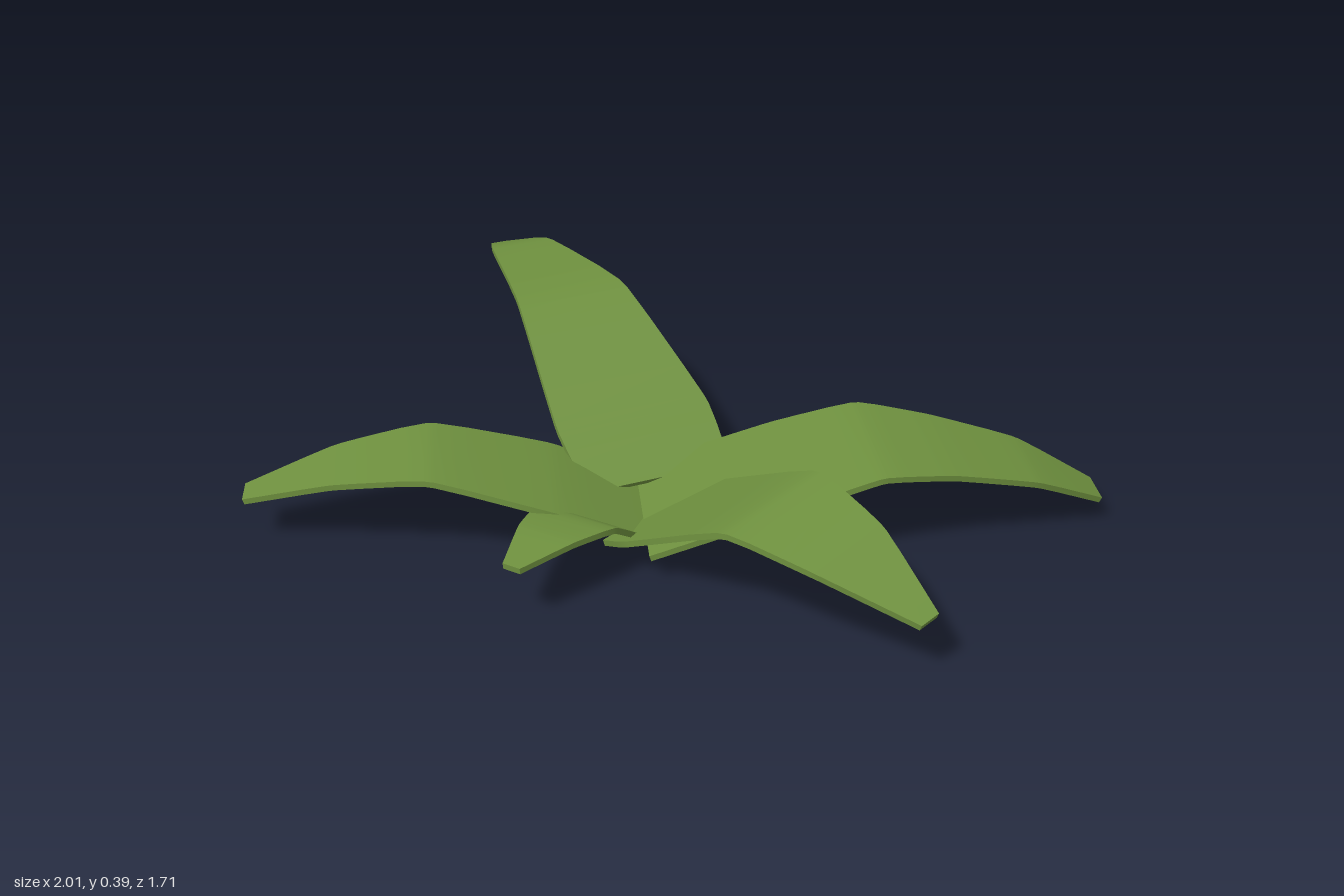
import * as THREE from 'three';
import { toCreasedNormals } from 'three/addons/utils/BufferGeometryUtils.js';

const THICK = 0.014;

// Rounds each bend of a leaf by cutting its corner twice
function soften(st) {
  const mix = (a, b, t) => a.map((v, i) => v + (b[i] - v) * t);
  for (const t of [0.1, 0.25]) {
    const out = [st[0]];
    for (let i = 1; i < st.length - 1; i++) {
      out.push(mix(st[i], st[i - 1], t), mix(st[i], st[i + 1], t));
    }
    out.push(st[st.length - 1]);
    st = out;
  }
  return st;
}

// Thin bent blade. Stations run base to tip as [x, y, z, width];
// side is the plan direction across the blade, roll its rise.
function leafGeometry(stations, side, roll = 0) {
  const st = soften(stations);
  const s = new THREE.Vector3(side[0], 0, side[1]).normalize();
  const pts = st.map((p) => new THREE.Vector3(p[0], p[1], p[2]));
  const pos = [], index = [];
  st.forEach((p, i) => {
    const tan = pts[Math.min(i + 1, st.length - 1)].clone().sub(pts[Math.max(i - 1, 0)]);
    const n = s.clone().cross(tan).normalize();
    for (const [a, b] of [[-1, 1], [1, 1], [1, -1], [-1, -1]]) {
      const v = pts[i].clone().addScaledVector(s, a * p[3] / 2).addScaledVector(n, b * THICK / 2);
      v.y += a * roll * p[3] / 2;
      pos.push(v.x, v.y, v.z);
    }
  });
  for (let i = 0; i < st.length - 1; i++) {
    for (let k = 0; k < 4; k++) {
      const a = i * 4 + k, b = i * 4 + (k + 1) % 4;
      index.push(a, b, b + 4, a, b + 4, a + 4);
    }
  }
  const e = (st.length - 1) * 4;
  index.push(0, 2, 1, 0, 3, 2, e, e + 1, e + 2, e, e + 2, e + 3);
  const g = new THREE.BufferGeometry();
  g.setAttribute('position', new THREE.Float32BufferAttribute(pos, 3));
  g.setIndex(index);
  return toCreasedNormals(g, Math.PI / 4);
}

export function createModel() {
  const group = new THREE.Group();
  group.name = 'leafyPlant';
  const green = new THREE.MeshStandardMaterial({ color: 0x6f913f });
  green.name = 'leafGreen';

  // side always points to the right hand of a walker going from base to tip
  const leaves = [
    { name: 'leftLeaf', side: [0, 1], st: [
      [-0.08, 0.065, 0.195, 0.43], [0.25, 0.17, 0.195, 0.425], [0.45, 0.224, 0.19, 0.385],
      [0.62, 0.2, 0.19, 0.31], [0.83, 0.147, 0.185, 0.23], [1, 0.065, 0.19, 0.1]] },
    { name: 'rightLeaf', side: [0, -1], st: [
      [-0.06, 0.05, 0.17, 0.27], [-0.28, 0.15, 0.18, 0.345], [-0.57, 0.223, 0.155, 0.29],
      [-0.79, 0.183, 0.13, 0.2], [-1, 0.115, 0.118, 0.077]] },
    { name: 'frontLeaf', side: [-0.79, 0.61], roll: -0.14, st: [
      [-0.07, 0.055, 0.2, 0.27], [-0.015, 0.1, 0.27, 0.315], [0.175, 0.26, 0.52, 0.295],
      [0.315, 0.225, 0.68, 0.215], [0.46, 0.14, 0.833, 0.053]] },
    { name: 'backLeaf', side: [0.945, -0.32], st: [
      [-0.03, 0.085, 0.08, 0.37], [-0.08, 0.175, -0.07, 0.4], [-0.215, 0.384, -0.375, 0.285],
      [-0.335, 0.386, -0.7, 0.16], [-0.39, 0.325, -0.848, 0.042]] },
    { name: 'smallLeaf', side: [-0.8, -0.6], st: [
      [-0.125, 0.012, 0.195, 0.186], [-0.24, 0.146, 0.35, 0.21],
      [-0.31, 0.155, 0.44, 0.15], [-0.39, 0.143, 0.552, 0.045]] },
  ];
  for (const { name, side, roll, st } of leaves) {
    const mesh = new THREE.Mesh(leafGeometry(st, side, roll), green);
    mesh.name = name;
    group.add(mesh);
  }

  // Stand on the ground
  const box = new THREE.Box3().setFromObject(group);
  group.children.forEach((m) => { m.geometry.translate(0, -box.min.y, 0); });
  return group;
}
